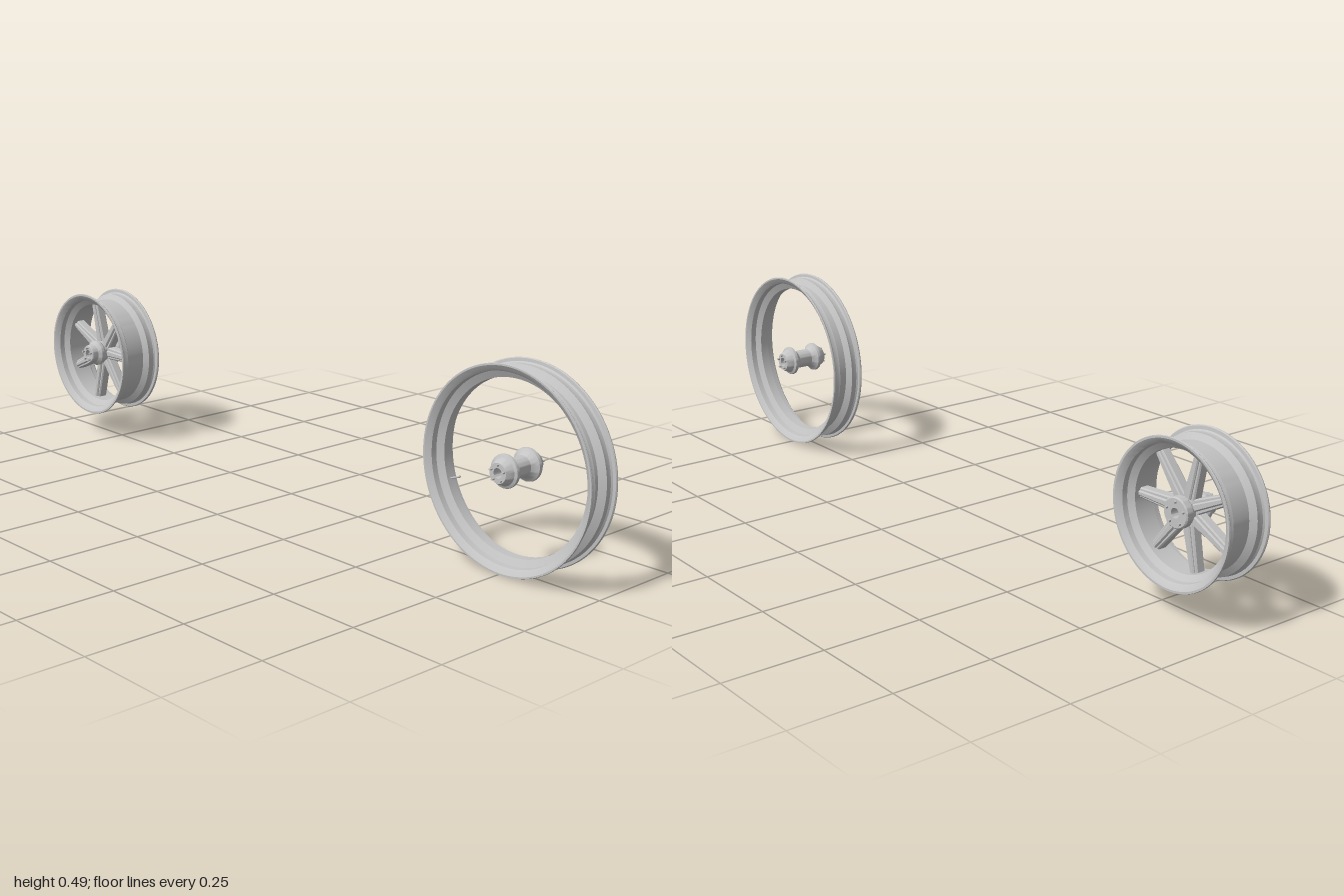
import * as THREE from 'three';
import { toCreasedNormals } from 'three/addons/utils/BufferGeometryUtils.js';

const metal = new THREE.MeshStandardMaterial({ color: 0xc4c4c4 });
metal.name = 'bare metal';

function add(parent, geometry, name) {
  const mesh = new THREE.Mesh(geometry, metal);
  mesh.name = name;
  parent.add(mesh);
  return mesh;
}

// Closed [radius, z] profile turned about the wheel axle (z)
function turned(profile, segments) {
  const points = [...profile, profile[0]].map(([r, z]) => new THREE.Vector2(r, z));
  const g = new THREE.LatheGeometry(points, segments).rotateX(Math.PI / 2);
  return toCreasedNormals(g, 0.5);
}

// Mirror the back half of a profile to the front
const mirrored = half => [...half, ...half.map(([r, z]) => [r, -z]).reverse()];

// Ring of hexagonal bolt heads around the axle
function bolts(parent, count, radius, z, size, depth) {
  for (let i = 0; i < count; i++) {
    const a = (i / count) * Math.PI * 2 + 0.3;
    const g = toCreasedNormals(new THREE.CylinderGeometry(size, size, depth, 6).rotateX(Math.PI / 2), 0.5);
    add(parent, g, 'hubBolt').position.set(Math.cos(a) * radius, Math.sin(a) * radius, z);
  }
}

// Tapered spoke along +x, with a recessed channel on both faces
function spokeGeometry(r0, r1, w0, w1, depth) {
  const s = new THREE.Shape();
  s.moveTo(r0, -w0 / 2);
  s.lineTo(r1, -w1 / 2);
  s.lineTo(r1, w1 / 2);
  s.lineTo(r0, w0 / 2);
  const b = 0.003;
  const g = new THREE.ExtrudeGeometry(s, {
    depth: depth - 2 * b, bevelEnabled: true, bevelSize: b, bevelThickness: b, bevelOffset: -b, bevelSegments: 1,
  });
  return toCreasedNormals(g.translate(0, 0, b - depth / 2), 0.4);
}

function largeWheel() {
  const wheel = new THREE.Group();
  wheel.name = 'largeWheel';

  // Narrow rim with rolled flanges and a dropped centre
  const outer = mirrored([
    [0.240, -0.046], [0.244, -0.046], [0.245, -0.043], [0.243, -0.040],
    [0.236, -0.039], [0.233, -0.035], [0.232, -0.025], [0.234, -0.020], [0.218, -0.010],
  ]);
  const inner = mirrored([[0.232, -0.041], [0.226, -0.036], [0.225, -0.021], [0.208, -0.012]]).reverse();
  add(wheel, turned([...outer, ...inner], 96), 'largeRim');

  // Spool hub with a bore
  const hub = mirrored([
    [0.012, -0.064], [0.024, -0.064], [0.026, -0.061], [0.033, -0.046],
    [0.039, -0.043], [0.040, -0.039], [0.039, -0.034], [0.030, -0.028], [0.025, -0.020],
  ]);
  add(wheel, turned(hub, 40), 'largeHub');
  for (const s of [-1, 1]) bolts(wheel, 5, 0.019, s * 0.067, 0.003, 0.008);

  // Valve stem
  const a = Math.PI + 0.345;
  const valve = add(wheel, new THREE.CylinderGeometry(0.0025, 0.0025, 0.034, 10), 'valveStem');
  valve.position.set(Math.cos(a) * 0.195, Math.sin(a) * 0.195, 0);
  valve.rotation.z = a - Math.PI / 2;
  return wheel;
}

function smallWheel() {
  const wheel = new THREE.Group();
  wheel.name = 'smallWheel';

  // Wide rim
  const outer = mirrored([
    [0.171, -0.064], [0.176, -0.064], [0.177, -0.061], [0.175, -0.058],
    [0.167, -0.057], [0.164, -0.053], [0.163, -0.040], [0.164, -0.037], [0.150, -0.026],
  ]);
  const inner = mirrored([[0.163, -0.059], [0.157, -0.053], [0.156, -0.039], [0.142, -0.028]]).reverse();
  add(wheel, turned([...outer, ...inner], 96), 'smallRim');

  // Seven spokes, each with a raised rib
  for (let i = 0; i < 7; i++) {
    const spoke = new THREE.Group();
    spoke.name = 'spoke';
    spoke.rotation.z = (i / 7) * Math.PI * 2;
    add(spoke, spokeGeometry(0.022, 0.147, 0.036, 0.024, 0.026), 'spokeBody');
    add(spoke, spokeGeometry(0.022, 0.146, 0.018, 0.012, 0.036), 'spokeRib');
    wheel.add(spoke);
  }

  // Stepped hub with a bore
  const hub = [
    [0.012, -0.045], [0.034, -0.045], [0.037, -0.042], [0.037, -0.026], [0.032, -0.020],
    [0.032, 0.022], [0.036, 0.028], [0.036, 0.036], [0.027, 0.044], [0.025, 0.060],
    [0.023, 0.062], [0.012, 0.062],
  ];
  add(wheel, turned(hub, 40), 'smallHub');
  bolts(wheel, 5, 0.018, 0.065, 0.003, 0.010);
  bolts(wheel, 5, 0.026, -0.047, 0.004, 0.008);
  return wheel;
}

export function createModel() {
  const model = new THREE.Group();
  model.name = 'wheelPair';
  const large = largeWheel();
  large.position.set(0.755, 0.247, 0);
  const small = smallWheel();
  small.position.set(-0.823, 0.244, -0.001);
  model.add(large, small);
  return model;
}
